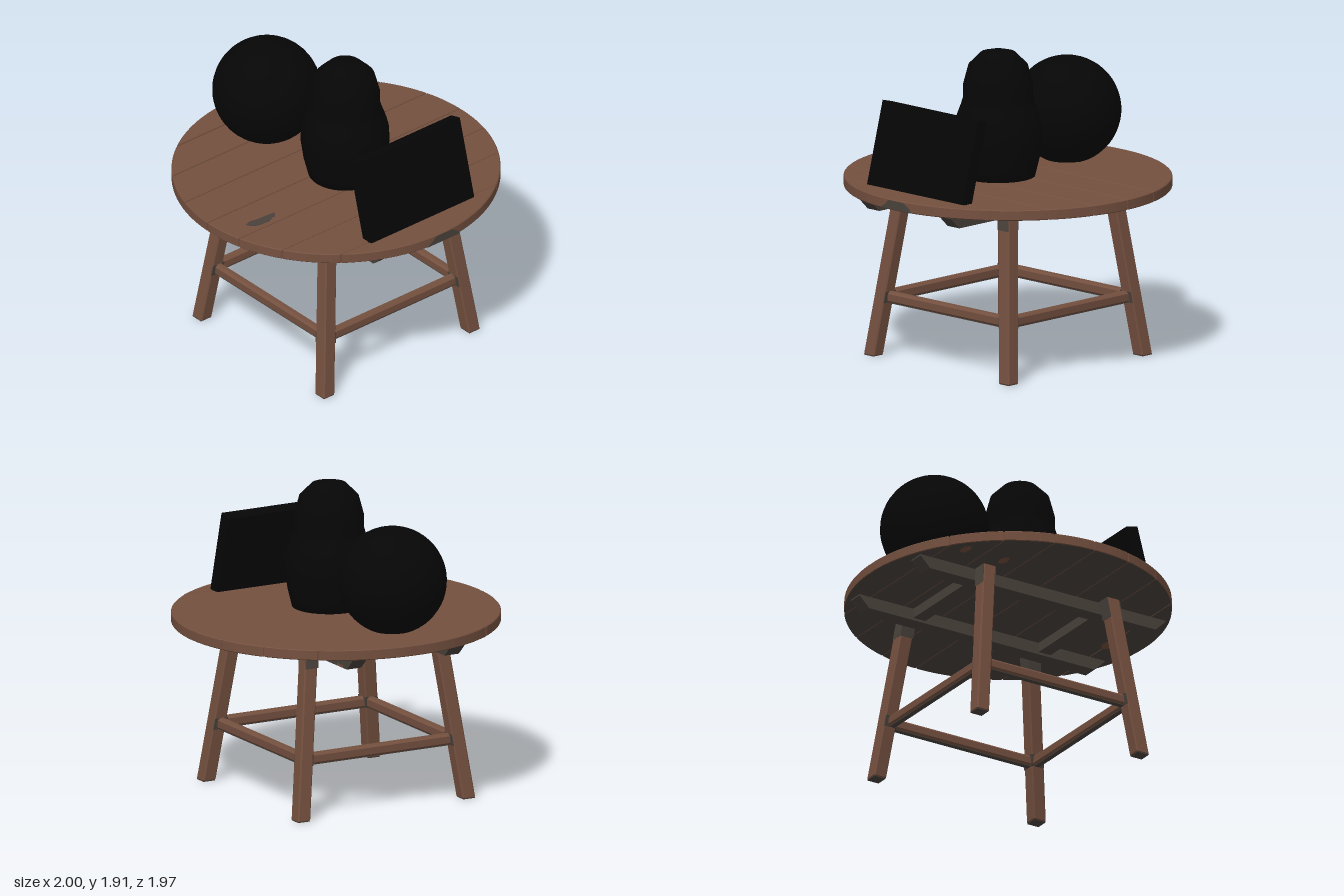
import * as THREE from 'three';

const mat = (name, color) => {
  const m = new THREE.MeshStandardMaterial({ color });
  m.name = name;
  return m;
};

export function createModel() {
  const wood = mat('brown wood', 0x74503f);
  const worn = mat('worn grey wood', 0x4a423c);
  const black = mat('black', 0x060606);
  const group = new THREE.Group();
  const add = (name, geo, material, x = 0, y = 0, z = 0) => {
    const mesh = new THREE.Mesh(geo, material);
    mesh.name = name;
    mesh.position.set(x, y, z);
    group.add(mesh);
    return mesh;
  };
  const shapeOf = (pts) => new THREE.Shape(pts.map(([x, y]) => new THREE.Vector2(x, y)));

  // Bar along z, centred, with small chamfers on every edge
  const bar = (w, h, len, c) => {
    const a = w / 2, b = h / 2;
    const s = shapeOf([[a - c, -b], [a, c - b], [a, b - c], [a - c, b],
      [c - a, b], [-a, b - c], [-a, c - b], [c - a, -b]]);
    const e = 0.006;
    return new THREE.ExtrudeGeometry(s, { depth: len - 2 * e, bevelThickness: e, bevelSize: e,
      bevelOffset: -e, bevelSegments: 1 }).translate(0, 0, e - len / 2);
  };

  // Round top cut into planks, brown above and grey below
  const TOP = 1.115, RZ = 0.985, gap = 0.003, e = 0.005;
  const joints = [-0.987, -0.798, -0.558, -0.285, -0.02, 0.24, 0.508, 0.775, 0.987];
  for (let i = 0; i < joints.length - 1; i++) {
    const t0 = Math.asin((joints[i] + gap) / RZ), t1 = Math.asin((joints[i + 1] - gap) / RZ);
    const right = [], left = [];
    for (let k = 0; k <= 12; k++) {
      const t = t0 + (t1 - t0) * k / 12;
      right.push([Math.cos(t), RZ * Math.sin(t)]);
      left.unshift([-Math.cos(t), RZ * Math.sin(t)]);
    }
    const shape = shapeOf([...right, ...left]);
    const geo = new THREE.ExtrudeGeometry(shape, {
      depth: 0.065 - 2 * e, bevelThickness: e, bevelSize: e, bevelOffset: -e, bevelSegments: 1 });
    add('plank', geo.rotateX(Math.PI / 2), wood, 0, TOP - e, 0);
    add('plankUnderside', new THREE.ShapeGeometry(shape).rotateX(Math.PI / 2), worn, 0, 1.0485, 0);
  }

  // Splayed legs, leaning in towards the top
  const lean = (geo, sx, sz) => {
    const p = geo.attributes.position;
    for (let i = 0; i < p.count; i++) {
      const off = 0.575 - 0.125 * p.getY(i);
      p.setX(i, p.getX(i) + sx * off);
      p.setZ(i, p.getZ(i) + sz * off);
    }
    geo.computeVertexNormals();
    return geo;
  };
  for (const sx of [-1, 1]) for (const sz of [-1, 1]) {
    const leg = bar(0.088, 0.088, 1.053, 0.008).rotateX(-Math.PI / 2).translate(0, 0.5285, 0);
    add('leg', lean(leg, sx, sz), wood);
    // Worn wood on the leg top, around the stretcher joint and under the foot
    const top = new THREE.BoxGeometry(0.087, 0.13, 0.092).translate(-sx * 0.003, 0.983, 0);
    add('wornLegTop', lean(top, sx, sz), worn);
    const joint = new THREE.BoxGeometry(0.087, 0.07, 0.087).translate(-sx * 0.004, 0.365, -sz * 0.004);
    add('wornLegJoint', lean(joint, sx, sz), worn);
    const foot = new THREE.BoxGeometry(0.08, 0.004, 0.08).translate(0, 0.002, 0);
    add('wornFoot', lean(foot, sx, sz), worn);
  }

  // Stretchers between the legs, with grey undersides
  for (const s of [-1, 1]) {
    add('sideStretcher', bar(0.055, 0.07, 1.06, 0.014), wood, s * 0.52, 0.365, 0);
    add('crossStretcher', bar(0.055, 0.07, 1.06, 0.014).rotateY(Math.PI / 2), wood, 0, 0.365, s * 0.52);
    add('sideStretcherUnderside', new THREE.BoxGeometry(0.034, 0.005, 0.97), worn, s * 0.52, 0.3305, 0);
    add('crossStretcherUnderside', new THREE.BoxGeometry(0.97, 0.005, 0.034), worn, 0, 0.3305, s * 0.52);
  }

  // Support beams with slanted ends, and battens between them
  const beamShape = shapeOf([[-0.81, 0.972], [0.81, 0.972], [0.88, 1.04], [0.88, 1.052], [-0.88, 1.052], [-0.88, 1.04]]);
  for (const s of [-1, 1]) {
    const beam = new THREE.ExtrudeGeometry(beamShape, { depth: 0.1, bevelEnabled: false });
    beam.translate(0, 0, -0.05).rotateY(Math.PI / 2);
    add('supportBeam', beam, worn, s * 0.34, 0, 0);
    add('batten', new THREE.BoxGeometry(0.6, 0.065, 0.085), worn, 0, 1.02, s * 0.45);
  }

  // Brown spots left on the beam and the underside
  for (const [z, w] of [[0.11, 0.09], [-0.73, 0.07]])
    add('beamSpot', new THREE.BoxGeometry(0.004, 0.014, w), wood, 0.39, 0.981, z);
  for (const [x, z, r] of [[0.07, 0.78, 0.06], [-0.6, -0.69, 0.04], [-0.59, -0.41, 0.04]]) {
    const spot = new THREE.CircleGeometry(r, 9).scale(1.3, 0.7, 1).rotateX(Math.PI / 2);
    add('undersideSpot', spot, wood, x, 1.046, z);
  }

  // Worn patches on the tabletop and its front rim
  const spot = shapeOf([[-0.84, 0.15], [-0.8, 0.138], [-0.74, 0.148], [-0.62, 0.155], [-0.64, 0.185],
    [-0.71, 0.21], [-0.79, 0.205], [-0.83, 0.18]]);
  const spotGeo = new THREE.ExtrudeGeometry(spot, { depth: 0.004, bevelEnabled: false });
  add('wornSpot', spotGeo.rotateX(Math.PI / 2), worn, 0, TOP + 0.002, 0);
  const rim = shapeOf([[-0.11, 1.055], [0.15, 1.055], [0.13, 1.08], [0.08, 1.108], [-0.04, 1.108], [-0.07, 1.08]]);
  const rimGeo = new THREE.ExtrudeGeometry(rim, { depth: 0.006, bevelEnabled: false });
  add('wornRim', rimGeo, worn, 0, 0, 0.979);

  // Objects on the table: leaning board, rounded figure, ball
  const board = add('board', new THREE.BoxGeometry(0.81, 0.52, 0.082), black, 0.006, 1.36, 0.7);
  board.rotation.x = -0.262;

  const profile = [[0, 1.125], [0.225, 1.125], [0.238, 1.18], [0.253, 1.24], [0.27, 1.36], [0.265, 1.44],
    [0.25, 1.5], [0.224, 1.57], [0.212, 1.61], [0.212, 1.69], [0.18, 1.81], [0.105, 1.885], [0, 1.912]];
  add('figure', new THREE.LatheGeometry(profile.map(([r, y]) => new THREE.Vector2(r, y)), 32),
    black, 0, 0, 0.085);

  add('ball', new THREE.SphereGeometry(0.33, 40, 28), black, -0.065, 1.418, -0.57);
  return group;
}
